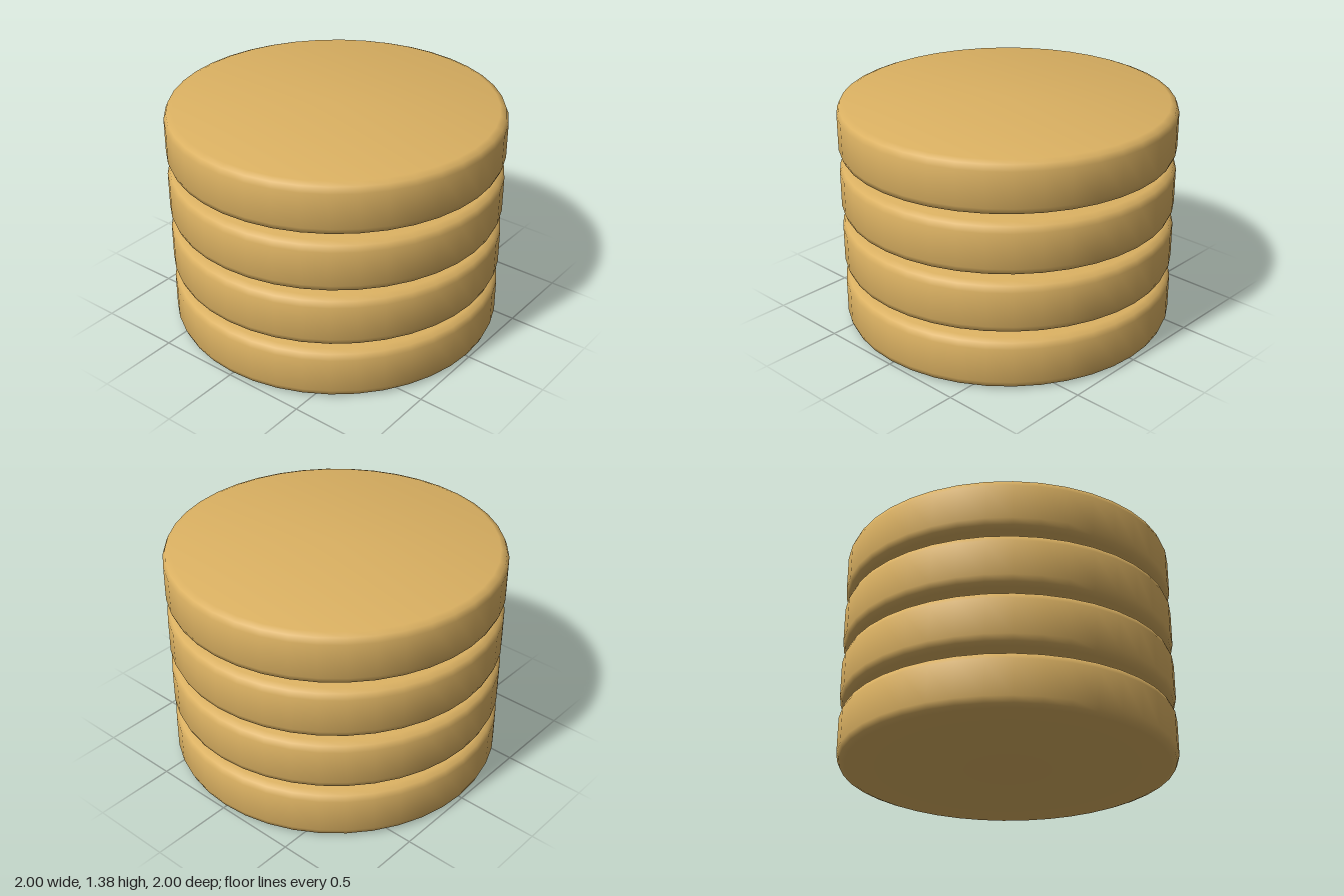
import * as THREE from 'three';

const RADIUS = 1, THICKNESS = 0.31, BEVEL = 0.05, PITCH = 0.355, COUNT = 4, SIDES = 40;

// Disc with rounded rims, turned from a half profile running bottom to top
function discGeometry() {
  const points = [new THREE.Vector2(0, 0)];
  const tilts = [-90]; // upward tilt of the smooth normal at each profile point
  const addRim = (centreY, angles, normals) => angles.forEach((deg, i) => {
    const a = THREE.MathUtils.degToRad(deg);
    points.push(new THREE.Vector2(RADIUS - BEVEL + BEVEL * Math.cos(a), centreY + BEVEL * Math.sin(a)));
    tilts.push(normals[i]);
  });
  addRim(BEVEL, [-90, -45, 0], [-78.75, -45, -11.25]);
  addRim(THICKNESS - BEVEL, [0, 45, 90], [11.25, 45, 78.75]);
  points.push(new THREE.Vector2(0, THICKNESS));
  tilts.push(90);

  const geometry = new THREE.LatheGeometry(points, SIDES);
  // Soft shading across caps, bevels and wall
  const normal = geometry.attributes.normal;
  for (let i = 0; i < normal.count; i++) {
    const phi = Math.floor(i / points.length) / SIDES * Math.PI * 2;
    const t = THREE.MathUtils.degToRad(tilts[i % points.length]);
    normal.setXYZ(i, Math.cos(t) * Math.sin(phi), Math.sin(t), Math.cos(t) * Math.cos(phi));
  }
  return geometry;
}

export function createModel() {
  const model = new THREE.Group();
  model.name = 'discStack';
  const gold = new THREE.MeshStandardMaterial({ color: 0xdbb162 });
  gold.name = 'gold';

  // Evenly spaced stack of identical discs
  const geometry = discGeometry();
  for (let i = 0; i < COUNT; i++) {
    const disc = new THREE.Mesh(geometry, gold);
    disc.name = `disc${i + 1}`;
    disc.position.y = i * PITCH;
    model.add(disc);
  }
  return model;
}
